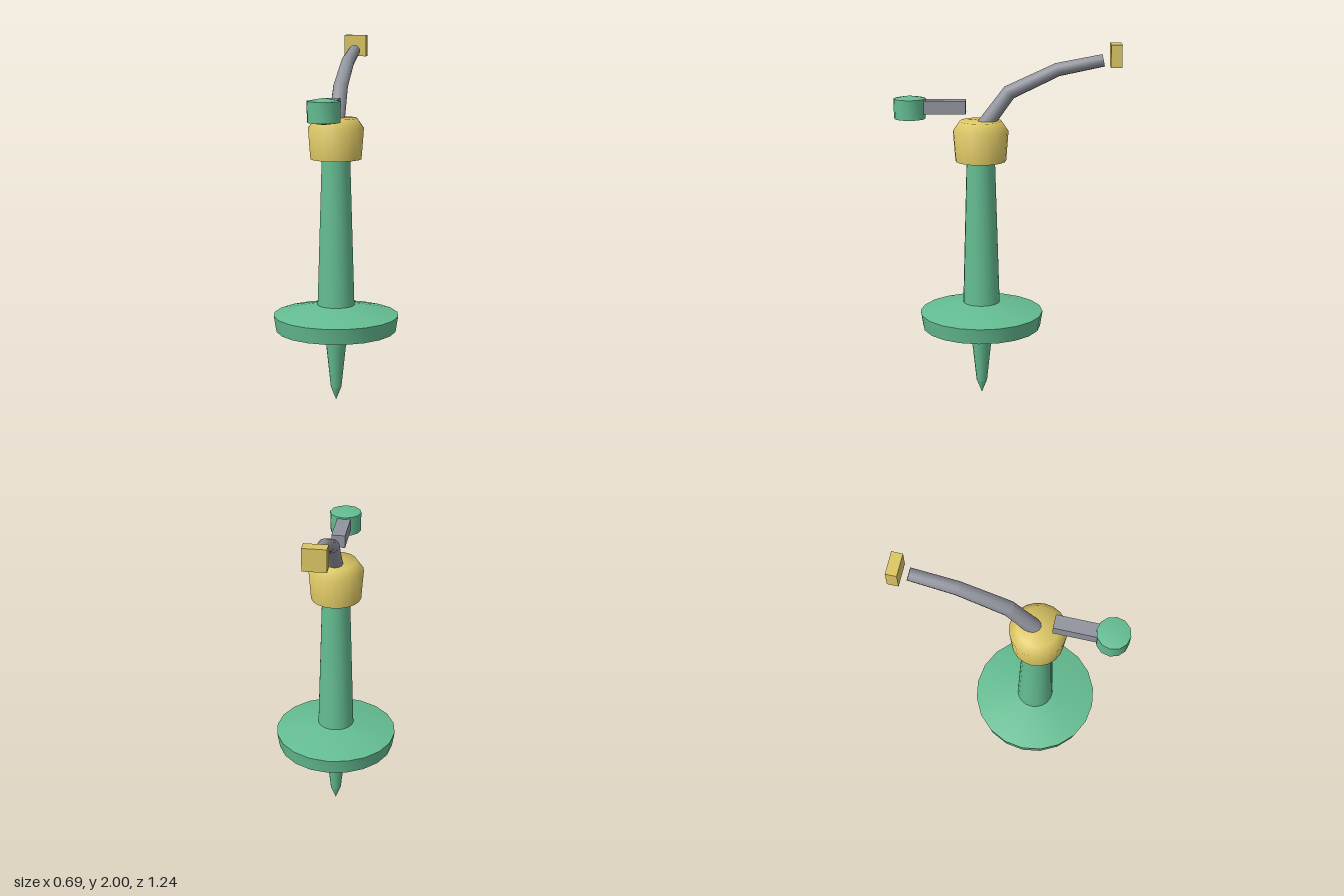
import * as THREE from 'three';
import { toCreasedNormals } from 'three/addons/utils/BufferGeometryUtils.js';

const AXIS_Z = 0.144;

function material(name, color) {
  const m = new THREE.MeshStandardMaterial({ color });
  m.name = name;
  return m;
}

// Closed tube through points [y, z, radius] in the x = 0 plane, with mitred joints
function bentTube(points, sides) {
  const centres = points.map(([y, z]) => new THREE.Vector3(0, y, z));
  const last = points.length - 1;
  const pos = [];
  const index = [];
  centres.forEach((c, i) => {
    const before = c.clone().sub(centres[Math.max(i - 1, 0)]).normalize();
    const after = centres[Math.min(i + 1, last)].clone().sub(c).normalize();
    const dir = before.add(after).normalize();
    const up = new THREE.Vector3(0, -dir.z, dir.y);
    for (let j = 0; j < sides; j++) {
      const a = (j / sides) * Math.PI * 2;
      const r = points[i][2];
      pos.push(r * Math.cos(a), c.y + up.y * r * Math.sin(a), c.z + up.z * r * Math.sin(a));
    }
  });
  for (let i = 0; i < last; i++) {
    for (let j = 0; j < sides; j++) {
      const k = (j + 1) % sides;
      const a = i * sides + j, b = i * sides + k;
      index.push(a, b + sides, b, a, a + sides, b + sides);
    }
  }
  // End caps
  for (let j = 1; j < sides - 1; j++) {
    const e = last * sides;
    index.push(0, j, j + 1, e, e + j + 1, e + j);
  }
  const g = new THREE.BufferGeometry();
  g.setAttribute('position', new THREE.Float32BufferAttribute(pos, 3));
  g.setIndex(index);
  return g;
}

export function createModel() {
  const group = new THREE.Group();
  group.name = 'spikedStand';
  const green = material('green', 0x64bd92);
  const yellow = material('yellow', 0xdcc664);
  const grey = material('grey', 0x92949e);

  function add(name, geometry, mat, x = 0, y = 0, z = 0) {
    const mesh = new THREE.Mesh(geometry, mat);
    mesh.name = name;
    mesh.position.set(x, y, z);
    group.add(mesh);
  }
  // Turned part; profile is [radius, y] from bottom to top
  function turned(name, profile, sides, mat, z = AXIS_Z, crease = 0.56) {
    const pts = profile.map(([r, y]) => new THREE.Vector2(r, y));
    add(name, toCreasedNormals(new THREE.LatheGeometry(pts, sides), crease), mat, 0, 0, z);
  }

  // Ground spike, base disc and shaft
  turned('spike', [[0, 0], [0.03, 0.075], [0.065, 0.4]], 12, green);
  turned('baseDisc', [[0, 0.39], [0.332, 0.403], [0.346, 0.49], [0.1, 0.547], [0, 0.547]], 20, green);
  turned('shaft', [[0.103, 0.535], [0.078, 1.37]], 20, green);

  // Collar at the top of the shaft, with a softened shoulder
  turned('collar', [[0, 1.356], [0.14, 1.356], [0.153, 1.523], [0.115, 1.578], [0, 1.578]], 20, yellow, AXIS_Z, 1.1);

  // Bent arm reaching backwards, with its end block
  const arm = bentTube([
    [1.55, 0.125, 0.044], [1.735, -0.012, 0.041], [1.86, -0.274, 0.037], [1.911, -0.523, 0.034],
  ], 12);
  add('bentArm', toCreasedNormals(arm, 0.56), grey);
  add('endBlock', new THREE.BoxGeometry(0.126, 0.123, 0.06), yellow, 0, 1.9385, -0.59);

  // Front bar with its knob
  add('frontBar', new THREE.BoxGeometry(0.076, 0.072, 0.255), grey, 0, 1.655, 0.352);
  turned('knob', [[0, 1.577], [0.087, 1.59], [0.089, 1.7], [0, 1.716]], 12, green, 0.532);

  return group;
}
